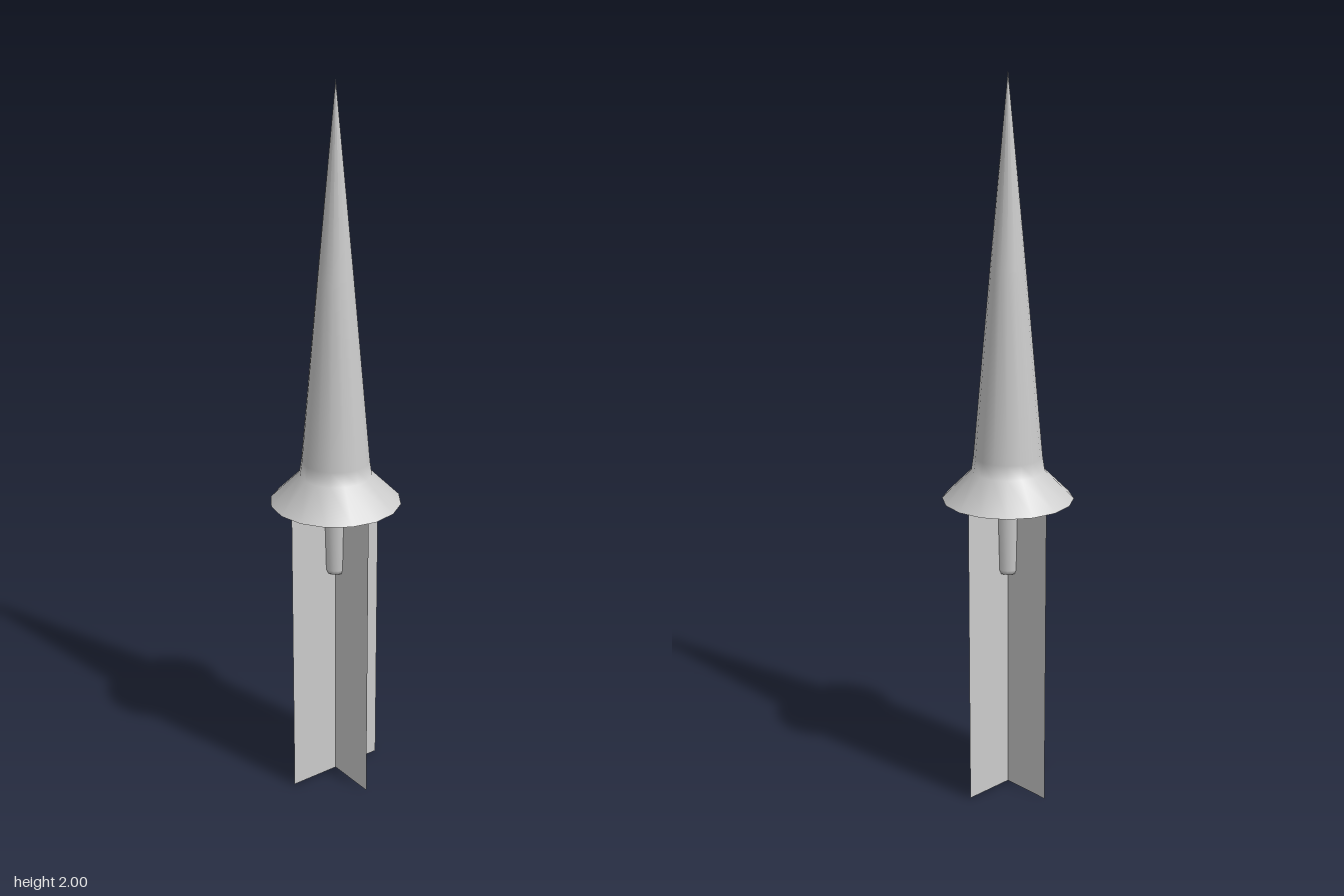
import * as THREE from 'three';

const SIDES = 16;

export function createModel() {
  const model = new THREE.Group();
  const grey = new THREE.MeshStandardMaterial({ color: 0xcccccc });
  const thin = new THREE.MeshStandardMaterial({ color: 0xcccccc, side: THREE.DoubleSide });

  const add = (name, geometry, material) => {
    const mesh = new THREE.Mesh(geometry, material);
    mesh.name = name;
    model.add(mesh);
    return mesh;
  };
  const lathe = (points) =>
    new THREE.LatheGeometry(points.map(([r, y]) => new THREE.Vector2(r, y)), SIDES);

  // Long tapering spike with a flared skirt at its foot
  add('spike', lathe([
    [0.18, 0.86], [0.1, 0.94], [0.094, 0.98], [0.048, 1.49], [0, 2],
  ]), grey);

  // Hollow underside of the skirt
  add('skirtUnderside', lathe([
    [0, 0.935], [0.09, 0.935], [0.172, 0.86], [0.18, 0.86],
  ]), grey);

  // Short tapered peg below the skirt, with a softened end
  add('peg', lathe([
    [0, 0.645], [0.026, 0.645], [0.032, 0.658], [0.038, 0.86], [0.04, 0.935],
  ]), grey);

  // Two crossed flat sheets trailing down to the ground
  const height = 0.92;
  for (const [name, angle] of [['sheetAcross', 0], ['sheetAlong', Math.PI / 2]]) {
    const sheet = add(name, new THREE.PlaneGeometry(0.295, height), thin);
    sheet.position.y = height / 2;
    sheet.rotation.y = angle;
  }
  // Keep the sheets' upper corners inside the skirt
  for (const sheet of model.children.filter((m) => m.name.startsWith('sheet'))) {
    sheet.scale.y = 0.875 / height;
    sheet.position.y = 0.875 / 2;
  }
  return model;
}
